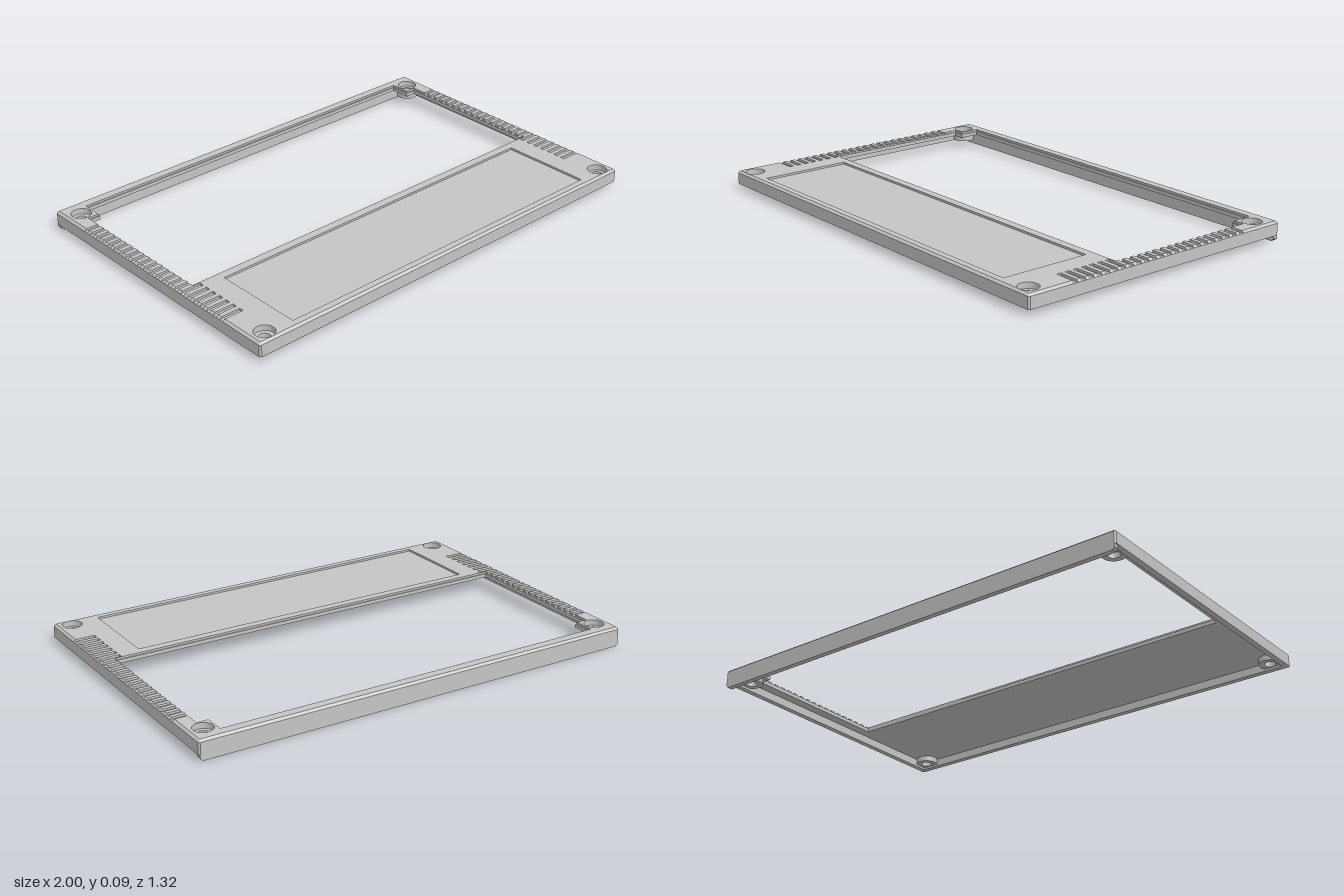
import * as THREE from 'three';
import { toCreasedNormals } from 'three/addons/utils/BufferGeometryUtils.js';

const FRONT = 0.658, BACK = -0.658, BEVEL = 0.01, CUT = 0.007;
const WIN = { x: 0.93, back: -0.605, front: 0.175, tabX: 0.88, tabZ: -0.515 };
const Y = { lip: 0, rim: 0.025, boss: 0.035, skin: 0.06, groove: 0.076, top: 0.085 };
const SCREWS = [[0.935, -0.57], [-0.935, -0.57], [0.935, 0.605], [-0.935, 0.605]];
const SLOT = { first: 0.435, pitch: 0.0398, half: 0.01, inner: 0.905, onDeck: 7, count: 23 };
const slotZ = (i) => SLOT.first - i * SLOT.pitch;

export function createModel() {
  const model = new THREE.Group();
  const grey = new THREE.MeshStandardMaterial({ color: 0xc5c5c5 });
  grey.name = 'grey plastic';

  const add = (name, geometry) => {
    const mesh = new THREE.Mesh(geometry, grey);
    mesh.name = name;
    model.add(mesh);
    return mesh;
  };

  // Outlines are given as [x, z] pairs and always wound counter-clockwise
  const toPoints = (list) => {
    const points = list.map(([x, z]) => new THREE.Vector2(x, -z));
    return THREE.ShapeUtils.isClockWise(points) ? points.reverse() : points;
  };
  const outline = (list, holes = []) => {
    const shape = new THREE.Shape(toPoints(list));
    shape.holes.push(...holes);
    return shape;
  };
  const hole = (list) => new THREE.Path(toPoints(list).reverse());
  const round = ([x, z], r) => new THREE.Path().absarc(x, -z, r, 0, Math.PI * 2, true);
  const rect = (x0, x1, z0, z1) => [[x0, z0], [x1, z0], [x1, z1], [x0, z1]];

  // Horizontal slab between two heights; the optional bevel pulls in its upper outer edge
  const slab = (name, shape, y0, y1, bevel = false) => {
    const g = new THREE.ExtrudeGeometry(shape, { depth: y1 - y0, bevelEnabled: false, curveSegments: 32 });
    g.rotateX(-Math.PI / 2).translate(0, y0, 0);
    const p = g.attributes.position;
    if (bevel) for (let i = 0; i < p.count; i++) {
      if (p.getY(i) < y1 - 1e-4) continue;
      p.setX(i, THREE.MathUtils.clamp(p.getX(i), -1 + BEVEL, 1 - BEVEL));
      p.setZ(i, THREE.MathUtils.clamp(p.getZ(i), BACK + BEVEL, FRONT - BEVEL));
    }
    return add(name, toCreasedNormals(g, 0.5));
  };

  // Outer edge with slightly cut corners
  const outer = [[-1, BACK + CUT], [-1 + CUT, BACK], [1 - CUT, BACK], [1, BACK + CUT],
    [1, FRONT - CUT], [1 - CUT, FRONT], [-1 + CUT, FRONT], [-1, FRONT - CUT]];
  // Back of the window with its two corner tabs, widened by a step d
  const windowBack = (d) => [[WIN.x + d, WIN.tabZ - d], [WIN.tabX + d, WIN.tabZ - d],
    [WIN.tabX + d, WIN.back - d], [-WIN.tabX - d, WIN.back - d],
    [-WIN.tabX - d, WIN.tabZ - d], [-WIN.x - d, WIN.tabZ - d]];
  const STEP = 0.005, topFront = WIN.front + STEP, topX = WIN.x + STEP;

  // Main skin and the rim wall below it
  slab('skin', outline(outer, [
    hole([[-WIN.x, WIN.front], [WIN.x, WIN.front], ...windowBack(0)]),
    ...SCREWS.map((s) => round(s, 0.042)),
  ]), Y.skin, Y.groove);
  slab('rimWall', outline(outer, [hole(rect(-0.975, 0.975, BACK + 0.023, FRONT - 0.025))]), Y.rim, Y.skin);

  // Front deck with vent slots in its sides, a sunken panel and screw recesses
  const side = [[1, topFront]];
  for (let i = SLOT.onDeck - 1; i >= 0; i--) {
    const a = slotZ(i) - SLOT.half, b = slotZ(i) + SLOT.half;
    side.push([1, a], [SLOT.inner, a], [SLOT.inner, b], [1, b]);
  }
  side.push([1, FRONT - CUT], [1 - CUT, FRONT]);
  const mirrored = side.map(([x, z]) => [-x, z]).reverse();
  slab('frontDeck', outline([...side, ...mirrored], [
    hole(rect(-0.812, 0.812, 0.217, 0.62)),
    ...SCREWS.slice(2).map((s) => round(s, 0.042)),
  ]), Y.groove, Y.top, true);

  // Back bar with corner tabs
  const barZ = slotZ(SLOT.count - 1) - SLOT.half;
  slab('backBar', outline([
    [-1, barZ], [-1, BACK + CUT], [-1 + CUT, BACK], [1 - CUT, BACK], [1, BACK + CUT], [1, barZ],
    [topX, barZ], ...windowBack(STEP), [-topX, barZ],
  ], SCREWS.slice(0, 2).map((s) => round(s, 0.042))), Y.groove, Y.top, true);

  // Grip ribs along both side rails
  for (let i = SLOT.onDeck - 1; i < SLOT.count - 1; i++) {
    const z0 = slotZ(i + 1) + SLOT.half;
    const z1 = Math.min(slotZ(i) - SLOT.half, topFront);
    slab('leftRib', outline(rect(topX, 1, z0, z1)), Y.groove, Y.top, true);
    slab('rightRib', outline(rect(-1, -topX, z0, z1)), Y.groove, Y.top, true);
  }

  // Screw bosses under the skin, closing the bottom of each recess
  for (const s of SCREWS) {
    const ring = new THREE.Shape().absarc(s[0], -s[1], 0.048, 0, Math.PI * 2, false);
    ring.holes.push(round(s, 0.025));
    slab('screwBoss', ring, Y.boss, Y.skin);
  }

  // Lip hanging below the back wall, with cut lower corners
  const lip = new THREE.Shape([[-0.985, Y.lip], [0.985, Y.lip], [0.995, 0.01], [0.995, Y.rim],
    [-0.995, Y.rim], [-0.995, 0.01]].map(([x, y]) => new THREE.Vector2(x, y)));
  const lipGeometry = new THREE.ExtrudeGeometry(lip, { depth: 0.023, bevelEnabled: false });
  add('backLip', lipGeometry).position.z = BACK;

  return model;
}
